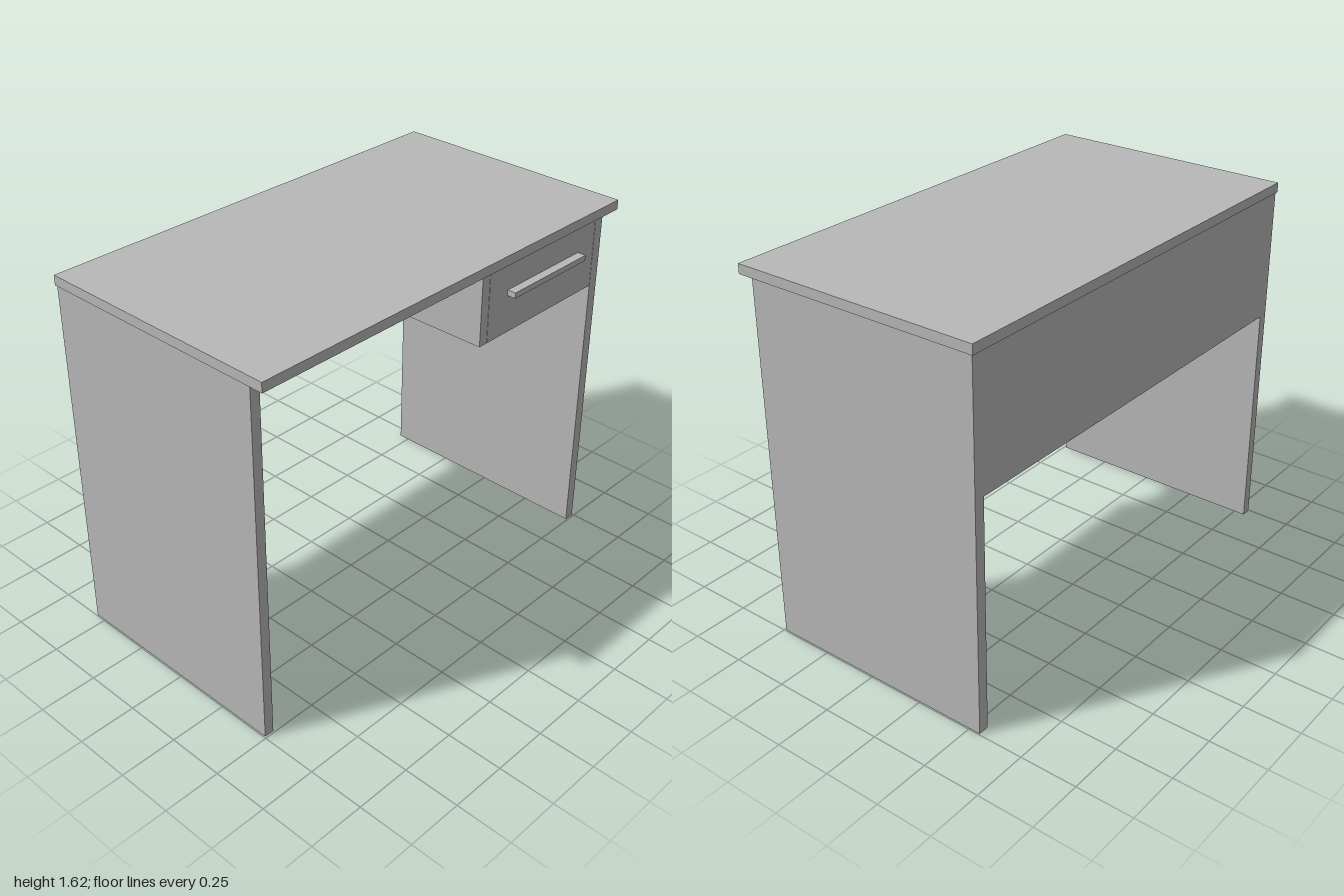
import * as THREE from 'three';

export function createModel() {
  const desk = new THREE.Group();
  desk.name = 'desk';
  const grey = new THREE.MeshStandardMaterial({ color: 0xb8b8b8 });
  grey.name = 'grey';

  // Adds a board spanning the given [min, max] ranges
  function board(name, [x0, x1], [y0, y1], [z0, z1]) {
    const mesh = new THREE.Mesh(new THREE.BoxGeometry(x1 - x0, y1 - y0, z1 - z0), grey);
    mesh.position.set((x0 + x1) / 2, (y0 + y1) / 2, (z0 + z1) / 2);
    mesh.name = name;
    desk.add(mesh);
  }

  const top = 1.578, front = 0.492, back = -0.55;

  board('desktop', [-1, 1], [1.58, 1.622], [-0.556, 0.556]);

  // Side panels the desk stands on
  board('leftSidePanel', [0.948, 0.995], [0, top], [back, front]);
  board('rightSidePanel', [-0.995, -0.952], [0, top], [back, front]);

  // Modesty panel across the back
  board('backPanel', [-0.952, 0.948], [1.02, top], [back, -0.508]);

  // Drawer compartment under the left half
  board('drawerDivider', [0.214, 0.258], [1.228, top], [-0.508, front]);
  board('drawerFront', [0.26, 0.946], [1.228, top], [0.45, front]);
  board('drawerBottom', [0.258, 0.948], [1.27, 1.29], [-0.508, 0.45]);
  board('drawerHandle', [0.375, 0.84], [1.395, 1.42], [front, 0.53]);

  return desk;
}
